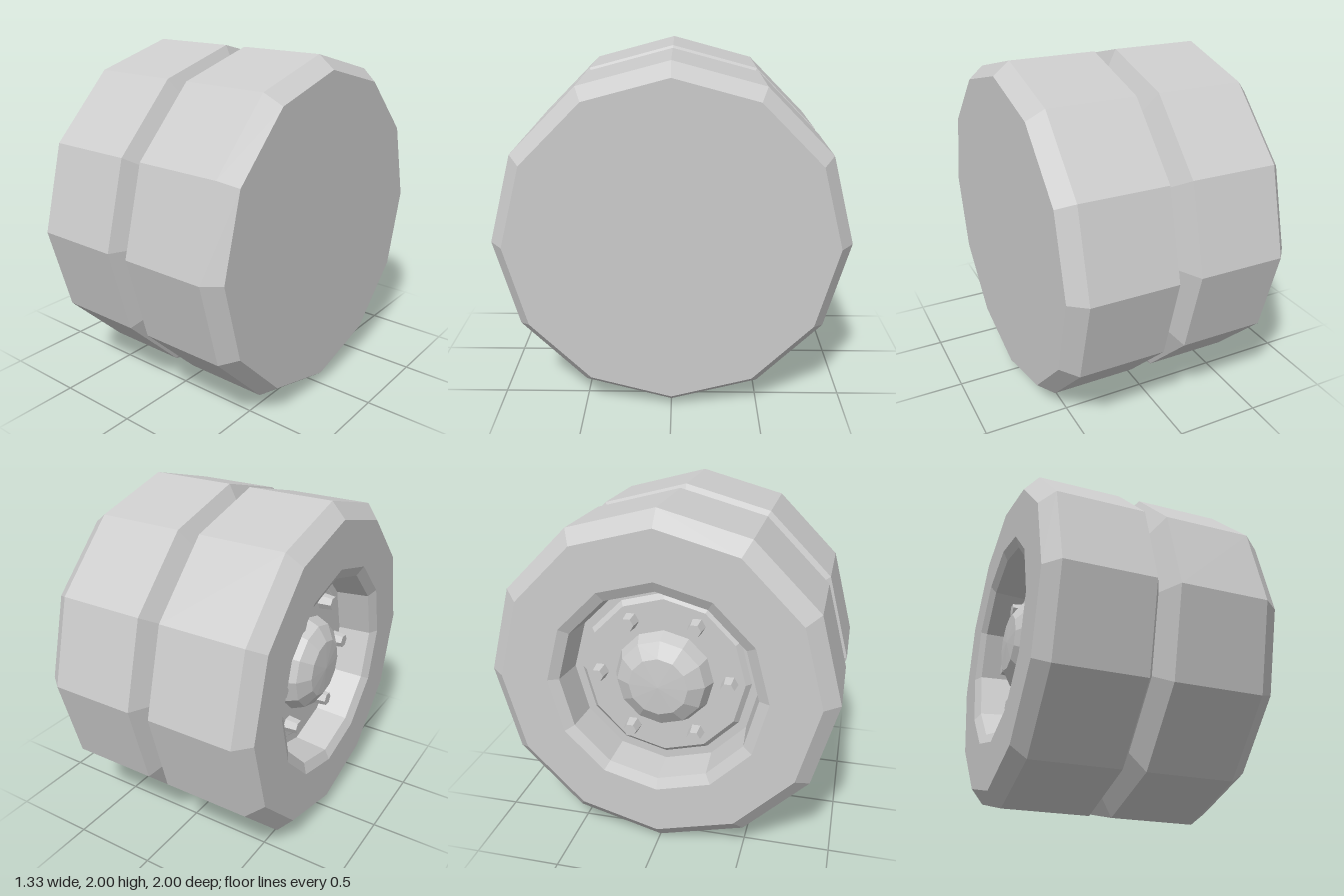
import * as THREE from 'three';

const SIDES = 12;
const material = new THREE.MeshStandardMaterial({ color: 0xcccccc, flatShading: true });

// Turns a profile of [x, radius] pairs around the wheel's axle (the x axis).
function turned(name, profile) {
  const points = profile.map(([x, r]) => new THREE.Vector2(r, x));
  const geometry = new THREE.LatheGeometry(points, SIDES);
  geometry.rotateZ(-Math.PI / 2);
  const mesh = new THREE.Mesh(geometry, material);
  mesh.name = name;
  return mesh;
}

export function createModel() {
  const wheel = new THREE.Group();
  wheel.name = 'twinWheel';
  wheel.position.y = 1;

  // Twin tyres: bevelled shoulders, V groove between them, plain inner side
  wheel.add(turned('twinTyres', [
    [-0.665, 0.63], [-0.665, 0.91], [-0.585, 1], [-0.075, 1], [-0.01, 0.865],
    [0.06, 1], [0.57, 1], [0.665, 0.925], [0.665, 0],
  ]));

  // Recessed rim: raised disc, step, barrel wall and flared lip
  wheel.add(turned('rim', [
    [-0.465, 0], [-0.465, 0.47], [-0.435, 0.5], [-0.435, 0.55],
    [-0.635, 0.57], [-0.665, 0.63],
  ]));

  // Domed hub cap
  wheel.add(turned('hubCap', [
    [-0.61, 0], [-0.6, 0.17], [-0.545, 0.255], [-0.46, 0.29],
  ]));

  // Six wheel nuts
  const nutGeometry = new THREE.CylinderGeometry(0.04, 0.05, 0.09, 6);
  nutGeometry.rotateZ(Math.PI / 2);
  const nuts = new THREE.Group();
  nuts.name = 'wheelNuts';
  for (let i = 0; i < 6; i++) {
    const angle = (i * Math.PI) / 3;
    const nut = new THREE.Mesh(nutGeometry, material);
    nut.name = 'wheelNut';
    nut.position.set(-0.5, 0.38 * Math.sin(angle), 0.38 * Math.cos(angle));
    nuts.add(nut);
  }
  wheel.add(nuts);

  const model = new THREE.Group();
  model.name = 'model';
  model.add(wheel);
  return model;
}
